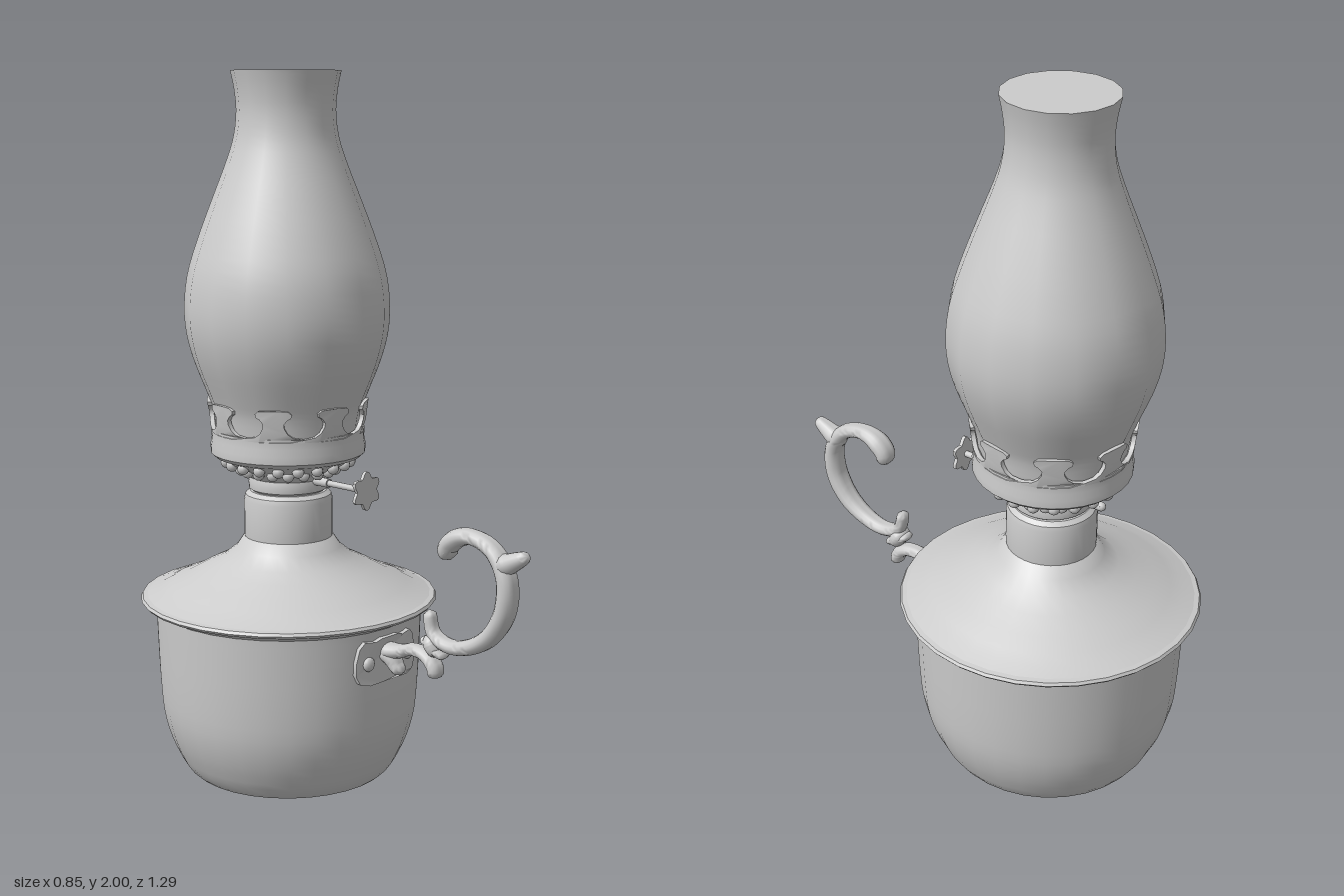
import * as THREE from 'three';
import { toCreasedNormals } from 'three/addons/utils/BufferGeometryUtils.js';

const mat = new THREE.MeshStandardMaterial({ color: 0xcccccc, side: THREE.DoubleSide });
const AXIS_Z = -0.222; // vertical axis of the lamp body

function add(parent, name, geo, x = 0, y = 0, z = 0) {
  const m = new THREE.Mesh(geo, mat);
  m.name = name;
  m.position.set(x, y, z);
  parent.add(m);
  return m;
}

// Surface of revolution; profile runs from bottom to top
function lathe(profile, sides) {
  const pts = profile.map(([r, y]) => new THREE.Vector2(r, y));
  return toCreasedNormals(new THREE.LatheGeometry(pts, sides), 0.6);
}

// Smooth a coarse profile
const smooth = (profile, n) =>
  new THREE.SplineCurve(profile.map(p => new THREE.Vector2(...p))).getPoints(n).map(p => [p.x, p.y]);

// Wrap an extrusion lying in xy around the vertical axis
function wrap(geo, R, flare = 0, y0 = 0) {
  const p = geo.attributes.position;
  for (let i = 0; i < p.count; i++) {
    const a = p.getX(i) / R, y = p.getY(i);
    const r = R + p.getZ(i) + flare * Math.max(0, y - y0);
    p.setXYZ(i, r * Math.sin(a), y, r * Math.cos(a));
  }
  return toCreasedNormals(geo, 0.7);
}

// Bar swept along a path in the yz plane: varying radius, widened along x, rounded ends
function sweep(path, radii, widen, segs = 48, sides = 14) {
  const curve = new THREE.CatmullRomCurve3(path.map(([z, y]) => new THREE.Vector3(0, y, z)));
  const geo = new THREE.TubeGeometry(curve, segs, 1, sides, false);
  const p = geo.attributes.position, c = new THREE.Vector3(), len = curve.getLength();
  for (let i = 0; i < p.count; i++) {
    const u = Math.floor(i / (sides + 1)) / segs;
    const f = u * (radii.length - 1), k = Math.min(Math.floor(f), radii.length - 2);
    let r = THREE.MathUtils.lerp(radii[k], radii[k + 1], f - k);
    const e = Math.min(1, Math.min(u, 1 - u) * len / r);
    r *= Math.sqrt(Math.max(0, 1 - (1 - e) ** 2));
    curve.getPointAt(u, c);
    p.setXYZ(i, p.getX(i) * r * widen, c.y + (p.getY(i) - c.y) * r, c.z + (p.getZ(i) - c.z) * r);
  }
  return toCreasedNormals(geo, 1.2);
}

function buildBody() {
  const body = new THREE.Group();
  body.name = 'lampBody';
  body.position.z = AXIS_Z;

  // Fuel tank with rolled rim
  add(body, 'tank', lathe([[0, 0], [0.285, 0], [0.297, 0.01],
    ...smooth([[0.315, 0.035], [0.345, 0.1], [0.367, 0.18], [0.376, 0.28], [0.381, 0.4], [0.384, 0.49]], 14),
    [0.4, 0.5], [0.42, 0.507], [0.427, 0.515], [0.422, 0.523], [0.4, 0.527]], 32));
  add(body, 'tankLid', lathe([[0.425, 0.517], [0.405, 0.527], [0.375, 0.535], [0.34, 0.555], [0.295, 0.573],
    [0.24, 0.603], [0.19, 0.627], [0.15, 0.66], [0.13, 0.69], [0.11, 0.7]], 32));
  add(body, 'collar', lathe([[0.125, 0.68], [0.127, 0.7], [0.127, 0.8], [0.123, 0.815], [0.11, 0.825], [0, 0.825]], 32));

  // Burner
  add(body, 'burnerCup', lathe([[0.095, 0.82], [0.112, 0.832], [0.114, 0.85], [0.11, 0.865],
    [0.122, 0.88], [0.145, 0.895], [0.175, 0.91], [0.195, 0.925], [0.205, 0.93]], 32));
  add(body, 'galleryBand', lathe([[0.19, 0.92], [0.207, 0.926], [0.22, 0.938], [0.221, 0.96],
    [0.217, 0.98], [0.218, 1.008], [0.205, 1.008], [0.19, 0.99]], 32));

  // Two rows of bumps under the gallery
  const bump = new THREE.SphereGeometry(0.017, 10, 8);
  for (let row = 0; row < 2; row++) for (let i = 0; i < 20; i++) {
    const a = (i + row / 2) * Math.PI / 10, r = row ? 0.14 : 0.177;
    add(body, 'burnerBump', bump, r * Math.sin(a), row ? 0.891 : 0.91, r * Math.cos(a));
  }

  // Crown of eight T-shaped prongs separated by round notches
  const R = 0.206, w = R * Math.PI / 8;
  const half = [[w, 1.0], [w, 1.008], [0.052, 1.013], [0.037, 1.024], [0.028, 1.04], [0.027, 1.052],
    [0.035, 1.064], [0.045, 1.07], [0.047, 1.08], [0.038, 1.088], [0.015, 1.09]];
  const outline = [[0, 1.0], [w / 2, 1.0], ...half,
    ...half.slice().reverse().map(([x, y]) => [-x, y]), [-w / 2, 1.0]];
  const prong = wrap(new THREE.ExtrudeGeometry(
    new THREE.Shape(outline.map(p => new THREE.Vector2(...p))), { depth: 0.013, bevelEnabled: false }), R, 0.13, 1.01);
  for (let i = 0; i < 8; i++) add(body, 'crownProng', prong).rotation.y = i * Math.PI / 4 - 0.18;

  // Glass chimney
  add(body, 'chimney', lathe([[0, 0.99], [0.2, 0.99],
    ...smooth([[0.203, 1.0], [0.212, 1.06], [0.23, 1.11], [0.265, 1.2], [0.285, 1.28], [0.289, 1.36], [0.277, 1.45],
      [0.245, 1.55], [0.207, 1.65], [0.168, 1.75], [0.146, 1.82], [0.138, 1.89], [0.143, 1.95], [0.153, 2.0]], 40),
    [0, 2.0]], 16));
  return body;
}

function buildWickKnob() {
  const knob = new THREE.Group();
  knob.name = 'wickAdjuster';
  knob.position.y = 0.865;
  const rod = (name, r, z0, z1) =>
    add(knob, name, new THREE.CylinderGeometry(r, r, z1 - z0, 12), 0, 0, (z0 + z1) / 2).rotation.x = Math.PI / 2;
  rod('wickShaft', 0.009, -0.38, 0.08);
  rod('wickShaftSleeve', 0.013, -0.385, -0.06);
  add(knob, 'shaftEnd', new THREE.SphereGeometry(0.013, 10, 8), 0, 0, -0.383);
  // Lobed wheel
  const s = new THREE.Shape();
  for (let i = 0; i < 48; i++) {
    const a = i / 48 * Math.PI * 2, r = 0.047 + 0.008 * Math.cos(6 * a);
    s[i ? 'lineTo' : 'moveTo'](r * Math.sin(a), r * Math.cos(a));
  }
  add(knob, 'knobWheel', toCreasedNormals(new THREE.ExtrudeGeometry(s, { depth: 0.01, bevelEnabled: false }), 0.6), 0, 0, 0.075);
  return knob;
}

function buildHandle() {
  const handle = new THREE.Group();
  handle.name = 'handle';
  // Main C-scroll with a flared upper tip
  add(handle, 'handleScroll', sweep([[0.385, 0.725], [0.375, 0.755], [0.41, 0.79], [0.465, 0.8], [0.53, 0.775],
    [0.573, 0.71], [0.57, 0.62], [0.525, 0.545], [0.455, 0.5], [0.385, 0.487], [0.33, 0.51], [0.312, 0.575]],
    [0.024, 0.027, 0.021, 0.022, 0.025, 0.027, 0.027, 0.025, 0.022, 0.02, 0.018, 0.016], 1.35, 72));
  // Thumb spur on the outside of the scroll
  add(handle, 'handleSpur', sweep([[0.53, 0.745], [0.565, 0.745], [0.605, 0.763], [0.642, 0.782]],
    [0.022, 0.03, 0.023, 0.015], 1.1, 20));
  // Knot between the scroll and the lower arm
  add(handle, 'handleKnot', sweep([[0.315, 0.51], [0.333, 0.475], [0.35, 0.45]], [0.022, 0.025, 0.02], 1.4, 16));
  add(handle, 'knotRing', sweep([[0.292, 0.495], [0.33, 0.475], [0.372, 0.45]], [0.011, 0.016, 0.011], 2, 16));
  // Lower arm arching to the tank
  add(handle, 'handleArm', sweep([[0.335, 0.385], [0.335, 0.415], [0.305, 0.443], [0.255, 0.45], [0.21, 0.435], [0.15, 0.425]],
    [0.02, 0.02, 0.018, 0.017, 0.021, 0.027], 1.4, 32));
  add(handle, 'armLeaf', sweep([[0.22, 0.375], [0.2, 0.385], [0.18, 0.41], [0.15, 0.43]], [0.016, 0.02, 0.025, 0.028], 1.3, 16));

  // Curved bracket plate with rivets
  const side = [[0.03, 0.345], [0.07, 0.342], [0.1, 0.35], [0.112, 0.375], [0.112, 0.41], [0.102, 0.45], [0.085, 0.468], [0.05, 0.463], [0.03, 0.47]];
  const plate = new THREE.Shape([...side, ...side.slice().reverse().map(([x, y]) => [-x, y])].map(p => new THREE.Vector2(...p)));
  add(handle, 'bracketPlate', wrap(new THREE.ExtrudeGeometry(plate, { depth: 0.03, bevelEnabled: false }), 0.366), 0, 0, AXIS_Z);
  for (const s of [-1, 1])
    add(handle, 'rivet', new THREE.SphereGeometry(0.02, 14, 10), s * 0.08, 0.405, AXIS_Z + 0.388).scale.z = 0.6;
  return handle;
}

export function createModel() {
  const lamp = new THREE.Group();
  lamp.name = 'oilLamp';
  lamp.add(buildBody(), buildWickKnob(), buildHandle());
  return lamp;
}
